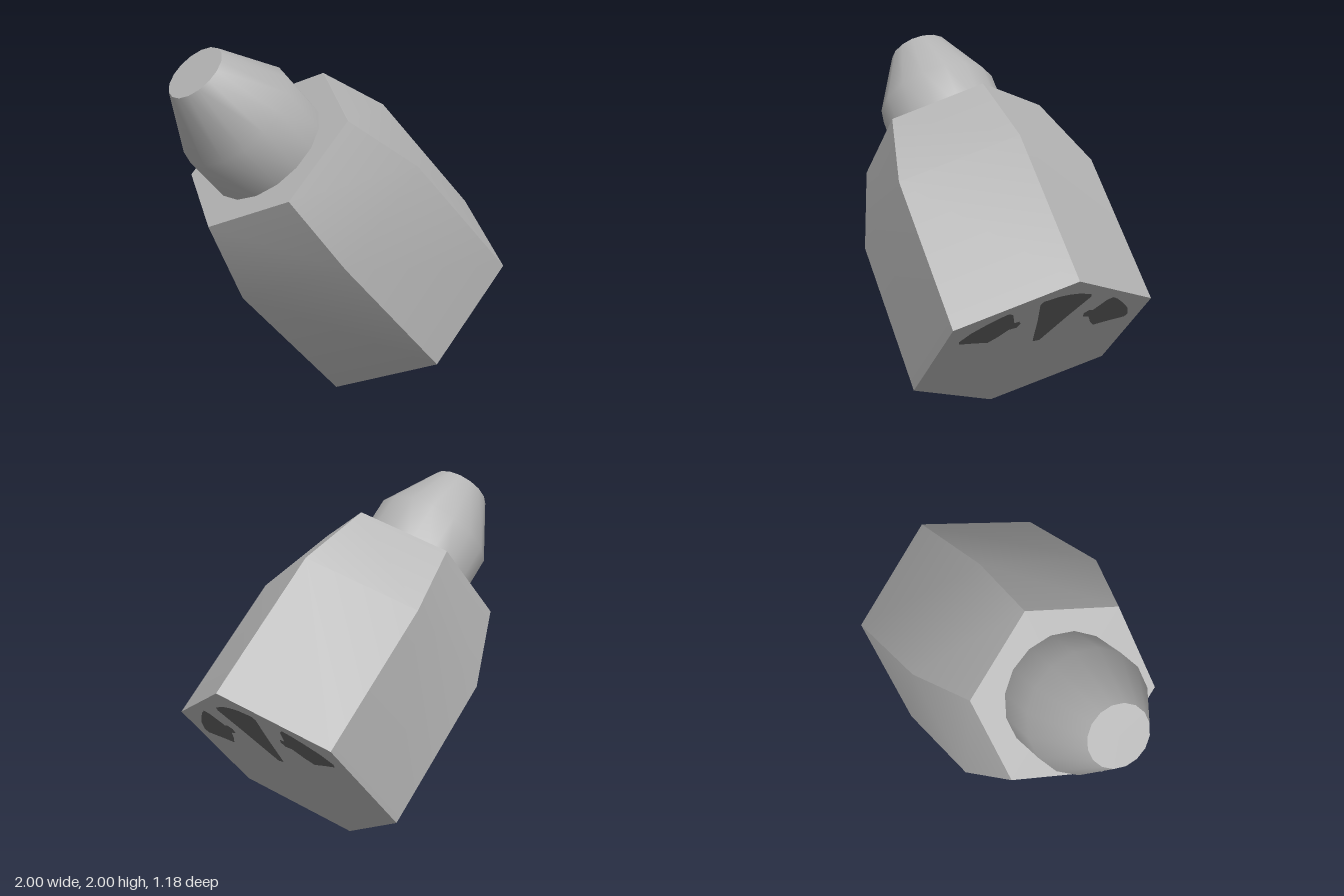
import * as THREE from 'three';
import { toCreasedNormals } from 'three/addons/utils/BufferGeometryUtils.js';

const bodyGrey = new THREE.MeshStandardMaterial({ color: 0xb3b3b3 });
bodyGrey.name = 'bodyGrey';
const markGrey = new THREE.MeshStandardMaterial({ color: 0x606060 });
markGrey.name = 'markGrey';

const points = (list) => list.map(([a, b]) => new THREE.Vector2(a, b));

// Turned part from [radius, height] pairs; sharp only at strong corners
function turned(name, profile, sides, start) {
  const lathe = new THREE.LatheGeometry(points(profile), sides, start);
  const mesh = new THREE.Mesh(toCreasedNormals(lathe, 0.6), bodyGrey);
  mesh.name = name;
  return mesh;
}

// Flat painted mark on the base, facing down; outline as [x, z] pairs
function mark(name, outline) {
  const geometry = new THREE.ShapeGeometry(new THREE.Shape(points(outline)));
  geometry.rotateX(Math.PI / 2);
  const mesh = new THREE.Mesh(geometry, markGrey);
  mesh.position.y = -0.003;
  mesh.name = name;
  return mesh;
}

export function createModel() {
  const model = new THREE.Group();
  model.name = 'hexagonalPlug';

  // Everything is built upright, then the whole plug is tilted 45 degrees
  const plug = new THREE.Group();
  plug.name = 'tiltedPlug';
  plug.rotation.z = Math.PI / 4;
  plug.position.set(0.512, 0.486, 0);
  model.add(plug);

  // Hexagonal body with tapered shoulder
  plug.add(turned('hexBody',
    [[0, 0], [0.684, 0], [0.684, 0.9], [0.534, 1.347], [0, 1.347]], 6, Math.PI / 2));

  // Round neck and tapered nose
  plug.add(turned('nose',
    [[0.343, 1.34], [0.343, 1.63], [0.172, 1.97], [0, 1.97]], 16, Math.PI / 16));

  // Three wedge marks on the base
  plug.add(mark('middleWedge', [
    [0.05, 0.02], [0.05, -0.02], [0.12, -0.04], [0.3, -0.09], [0.49, -0.15],
    [0.52, -0.14], [0.55, -0.06], [0.555, 0], [0.55, 0.06], [0.52, 0.14],
    [0.49, 0.15], [0.3, 0.09], [0.12, 0.04],
  ]));
  const sideWedge = [
    [0.2, 0.51], [0.28, 0.47], [0.35, 0.41], [0.41, 0.35], [0.44, 0.31],
    [0.42, 0.28], [0.32, 0.235], [0.33, 0.21], [0.3, 0.19], [0.26, 0.2],
    [0.25, 0.24], [0.18, 0.28], [0.13, 0.32], [0.15, 0.4], [0.17, 0.5],
  ];
  for (const [name, side] of [['frontWedge', 1], ['backWedge', -1]]) {
    plug.add(mark(name, sideWedge.map(([x, z]) => [x, z * side])));
  }
  return model;
}
